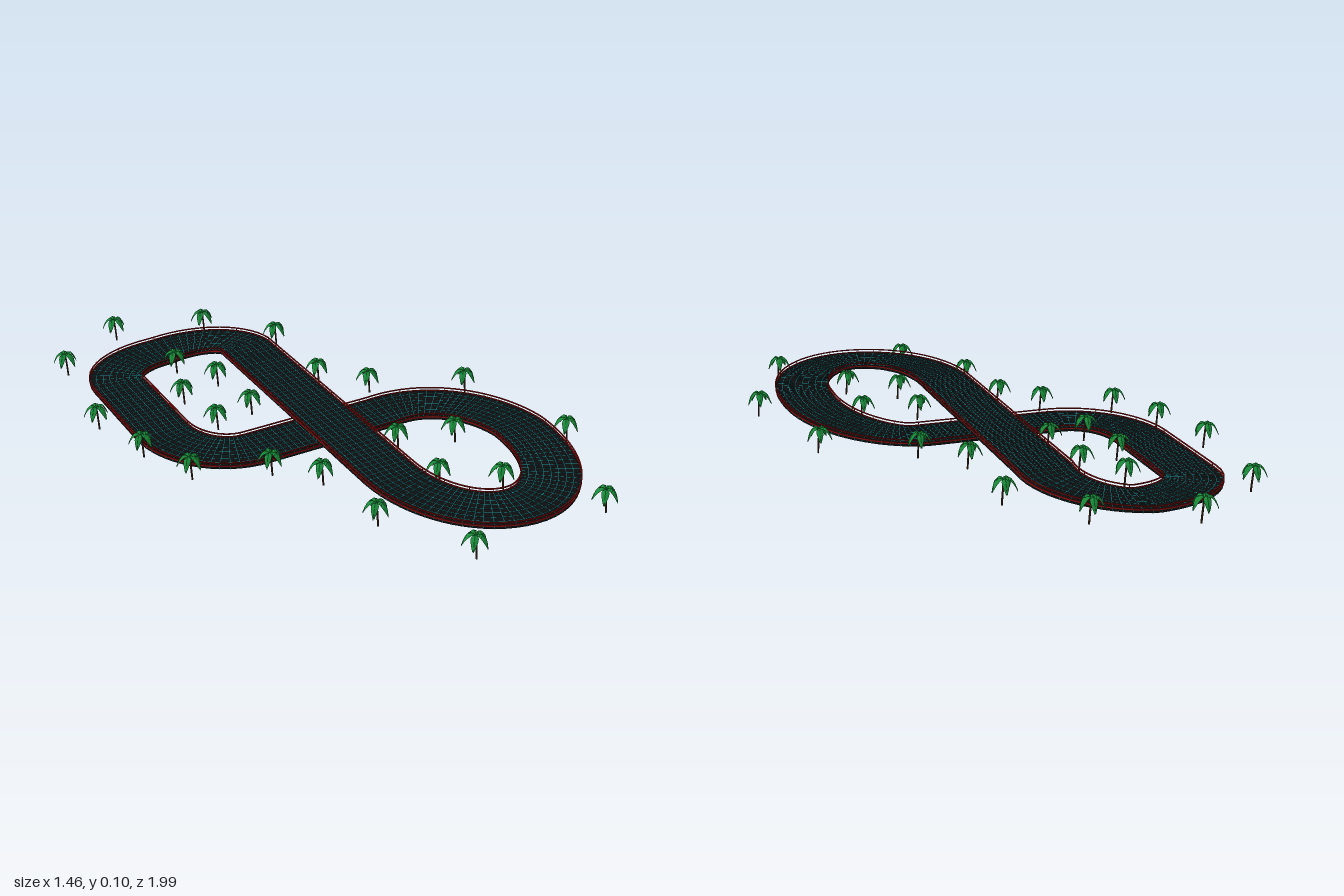
import * as THREE from 'three';
import { mergeGeometries } from 'three/addons/utils/BufferGeometryUtils.js';

const mat = (color, side = THREE.FrontSide) =>
  new THREE.MeshStandardMaterial({ color, side, flatShading: true });

const LOW = 0.006, HIGH = 0.064, DECK = 0.011, HALF = 0.097, STEPS = 190;
const V = (x, y, z) => new THREE.Vector3(x, y, z);

// Closed figure-eight centre line: straights joined by quarter-ellipse bends
function trackPath() {
  const path = new THREE.CurvePath();
  const line = (a, b) => path.add(new THREE.LineCurve3(a, b));
  const bend = (a, corner, b) => {
    const c1 = a.clone().lerp(V(corner[0], 0, corner[1]), 0.56);
    const c2 = b.clone().lerp(V(corner[0], 0, corner[1]), 0.56);
    c1.y = a.y + (b.y - a.y) / 3;
    c2.y = a.y + (b.y - a.y) * 2 / 3;
    path.add(new THREE.CubicBezierCurve3(a, c1, c2, b));
  };
  const a = V(-0.018, HIGH, -0.53), b = V(-0.018, HIGH, 0.5);
  const c = V(0.255, HIGH, 0.872), d = V(0.522, HIGH, 0.46);
  const e = V(0.22, LOW + 0.004, 0.066), f = V(-0.28, LOW, 0.066);
  const g = V(-0.51, LOW, -0.2), h = V(-0.51, LOW, -0.58), i = V(-0.27, LOW, -0.75);
  line(a, b);
  bend(b, [-0.018, 0.872], c);
  bend(c, [0.522, 0.872], d);
  bend(d, [0.522, 0.066], e);
  line(e, f);
  bend(f, [-0.51, 0.066], g);
  line(g, h);
  bend(h, [-0.51, -0.75], i);
  bend(i, [-0.018, -0.75], a);
  return path;
}

// Points and sideways directions along the path
function trackFrames() {
  const path = trackPath(), frames = [];
  for (let k = 0; k < STEPS; k++) {
    const p = path.getPoint(k / STEPS), t = path.getTangent(k / STEPS);
    t.y = 0;
    t.normalize();
    frames.push({ p, side: V(t.z, 0, -t.x), angle: Math.atan2(t.x, t.z) });
  }
  return frames;
}

// Sweeps a rectangle, given by sideways and vertical limits, round the loop
function sweep(frames, u0, u1, v0, v1) {
  const pos = [], index = [], n = frames.length;
  const ring = [[u1, v1], [u0, v1], [u0, v0], [u1, v0]];
  for (const { p, side } of frames)
    for (const [u, v] of ring) pos.push(p.x + side.x * u, p.y + v, p.z + side.z * u);
  for (let k = 0; k < n; k++) {
    const k2 = (k + 1) % n;
    for (let j = 0; j < 4; j++) {
      const j2 = (j + 1) % 4;
      const a0 = k * 4 + j, b0 = k * 4 + j2, a1 = k2 * 4 + j, b1 = k2 * 4 + j2;
      index.push(a0, b0, b1, a0, b1, a1);
    }
  }
  const geo = new THREE.BufferGeometry();
  geo.setAttribute('position', new THREE.Float32BufferAttribute(pos, 3));
  geo.setIndex(index);
  geo.computeVertexNormals();
  return geo;
}

// Box set across the track at one frame
function boxAt({ p, side, angle }, w, h, d, u, v) {
  return new THREE.BoxGeometry(w, h, d).rotateY(angle)
    .translate(p.x + side.x * u, p.y + v, p.z + side.z * u);
}

// One arched leaf, widest past the middle and folded along its spine
function frondGeometry() {
  const geo = new THREE.PlaneGeometry(1, 1, 2, 6), pos = geo.attributes.position;
  for (let k = 0; k < pos.count; k++) {
    const x = pos.getX(k), s = pos.getY(k) + 0.5;
    const width = 0.003 + 0.022 * Math.sin(Math.PI * Math.pow(s, 1.2));
    const y = 0.084 + 0.065 * s - 0.095 * s * s - 0.012 * Math.abs(x);
    pos.setXYZ(k, x * width, y, 0.044 * s);
  }
  geo.computeVertexNormals();
  return geo;
}

function createPalmParts() {
  // Slightly curved trunk
  const trunkCurve = new THREE.QuadraticBezierCurve3(V(0.005, 0, 0.004), V(0.003, 0.05, 0.002), V(0, 0.086, 0));
  const trunk = new THREE.TubeGeometry(trunkCurve, 6, 0.0032, 6);
  const fronds = [];
  for (let k = 0; k < 5; k++) fronds.push(frondGeometry().rotateY(k * Math.PI * 0.4 + 0.5));
  return { trunk, crown: mergeGeometries(fronds) };
}

const PALMS = [
  [-0.37, -0.955], [-0.64, -0.77], [-0.045, -0.85], [0.15, -0.615], [-0.28, -0.59],
  [-0.19, -0.425], [-0.355, -0.36], [-0.69, -0.34], [0.145, -0.27], [-0.178, -0.175],
  [-0.33, -0.135], [0.27, -0.115], [-0.63, -0.09], [-0.548, 0.12], [0.575, 0.05],
  [-0.305, 0.225], [-0.187, 0.36], [0.15, 0.28], [0.345, 0.335], [0.685, 0.515],
  [0.147, 0.545], [-0.155, 0.655], [0.315, 0.665], [0.015, 0.955], [0.52, 0.94],
];

export function createModel() {
  const model = new THREE.Group();
  const add = (parent, name, geo, material) => {
    const mesh = new THREE.Mesh(geo, material);
    mesh.name = name;
    parent.add(mesh);
  };

  // Road deck
  const frames = trackFrames();
  const track = new THREE.Group();
  track.name = 'track';
  model.add(track);
  add(track, 'roadDeck', sweep(frames, -HALF, HALF, 0, DECK), mat(0x0b0d0e));

  // Grid of thin lines showing on both faces of the deck
  const lines = [];
  for (let k = -3; k <= 3; k++) {
    const u = k * HALF / 4;
    lines.push(sweep(frames, u - 0.0008, u + 0.0008, -0.0006, DECK + 0.0008));
  }
  add(track, 'lengthwiseLines', mergeGeometries(lines), mat(0x14848c));
  const crossLines = frames.map((f) => boxAt(f, HALF * 2, DECK + 0.0014, 0.0016, 0, DECK / 2));
  add(track, 'crossLines', mergeGeometries(crossLines), mat(0x14848c));

  // Edge kerbs, guard rails and their posts
  const red = mat(0x8c1212), kerbs = [], rails = [], posts = [];
  for (const s of [-1, 1]) {
    const u = s * HALF;
    kerbs.push(sweep(frames, u - 0.002, u + 0.002, DECK - 0.002, DECK + 0.003));
    rails.push(sweep(frames, u - 0.002, u + 0.002, 0.021, 0.025));
    frames.forEach((f, k) => {
      if (k % 5 === 0) posts.push(boxAt(f, 0.002, 0.012, 0.002, u, 0.017));
    });
  }
  add(track, 'edgeKerbs', mergeGeometries(kerbs), red);
  add(track, 'guardRails', mergeGeometries(rails), red);
  add(track, 'railPosts', mergeGeometries(posts), red);

  // Palm trees inside and around the loops
  const { trunk, crown } = createPalmParts();
  const bark = mat(0x4a3020), leaf = mat(0x188a38, THREE.DoubleSide);
  for (const [x, z] of PALMS) {
    const palm = new THREE.Group();
    palm.name = 'palmTree';
    palm.position.set(x, 0, z);
    add(palm, 'trunk', trunk, bark);
    add(palm, 'fronds', crown, leaf);
    model.add(palm);
  }
  return model;
}
